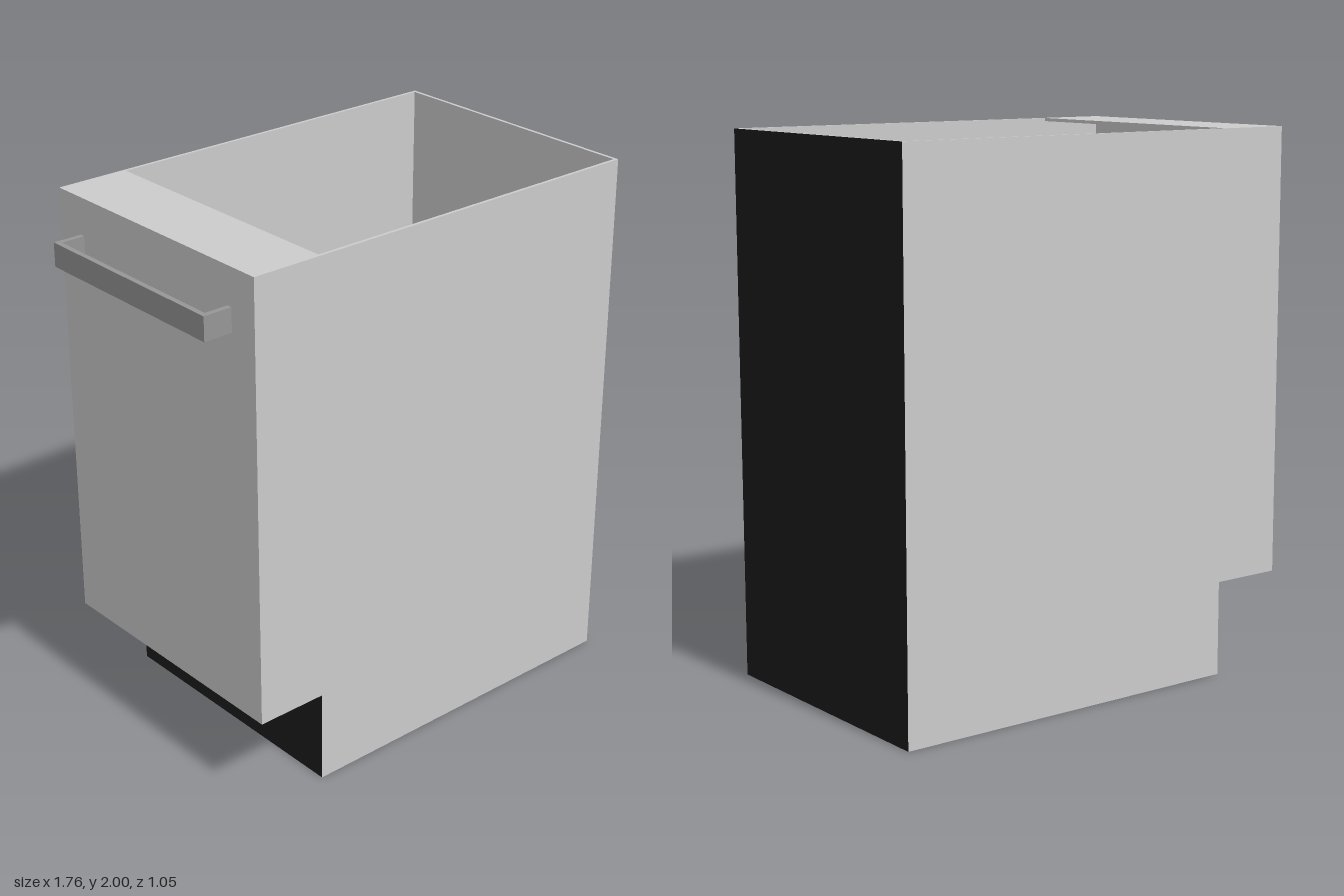
import * as THREE from 'three';

const grey = new THREE.MeshStandardMaterial({ color: 0xcccccc });
const dark = new THREE.MeshStandardMaterial({ color: 0x1c1c1c });
const metal = new THREE.MeshStandardMaterial({ color: 0x969696 });

// Box given by its limits; darkFace is the index of one dark side (+x -x +y -y +z -z)
function slab(name, [x0, x1], [y0, y1], [z0, z1], material = grey, darkFace = -1) {
  const geometry = new THREE.BoxGeometry(x1 - x0, y1 - y0, z1 - z0);
  geometry.translate((x0 + x1) / 2, (y0 + y1) / 2, (z0 + z1) / 2);
  const faces = Array(6).fill(material);
  if (darkFace >= 0) faces[darkFace] = dark;
  const mesh = new THREE.Mesh(geometry, darkFace >= 0 ? faces : material);
  mesh.name = name;
  return mesh;
}

export function createModel() {
  const model = new THREE.Group();
  model.name = 'cabinet';

  const W = 0.525;      // half width
  const T = 0.012;      // board thickness
  const front = -0.77, kick = -0.5, back = 0.88, kickTop = 0.35, top = 2;
  const full = [-W, W];

  // Side panels, notched over the toe kick and under the top rail
  const outline = new THREE.Shape([
    [front + T, kickTop + T], [kick + T, kickTop + T], [kick + T, T], [back - T, T],
    [back - T, top], [kick, top], [kick, top - T], [front + T, top - T],
  ].map(([x, y]) => new THREE.Vector2(x, y)));
  for (const [name, z] of [['sidePanelA', W - T], ['sidePanelB', -W]]) {
    const geometry = new THREE.ExtrudeGeometry(outline, { depth: T, bevelEnabled: false });
    const side = new THREE.Mesh(geometry, grey);
    side.position.z = z;
    side.name = name;
    model.add(side);
  }

  // Boards with a dark outer face and a light inner face
  model.add(
    slab('rearPanel', [back - T, back], [0, top], full, grey, 0),
    slab('floor', [kick + T, back - T], [0, T], full, grey, 3),
    slab('toeKick', [kick, kick + T], [0, kickTop + T], full, grey, 1),
    slab('overhangBoard', [-0.7, kick], [kickTop, kickTop + T], full, grey, 3),
  );

  // Door, its lower edge, and the top rail
  model.add(
    slab('door', [front, front + T], [kickTop, top - T], full),
    slab('doorLowerEdge', [front + T, -0.7], [kickTop, kickTop + T], full),
    slab('topRail', [front, kick], [top - T, top], full),
  );

  // Pull handle: a bar on two posts
  const handle = new THREE.Group();
  handle.name = 'handle';
  const height = [1.775, 1.863];
  handle.add(slab('handleBar', [-0.88, -0.86], height, [-0.41, 0.41], metal));
  for (const s of [-1, 1]) {
    const z = [s * 0.39, s * 0.41].sort((a, b) => a - b);
    handle.add(slab('handlePost', [-0.86, front], height, z, metal));
  }
  model.add(handle);
  return model;
}
